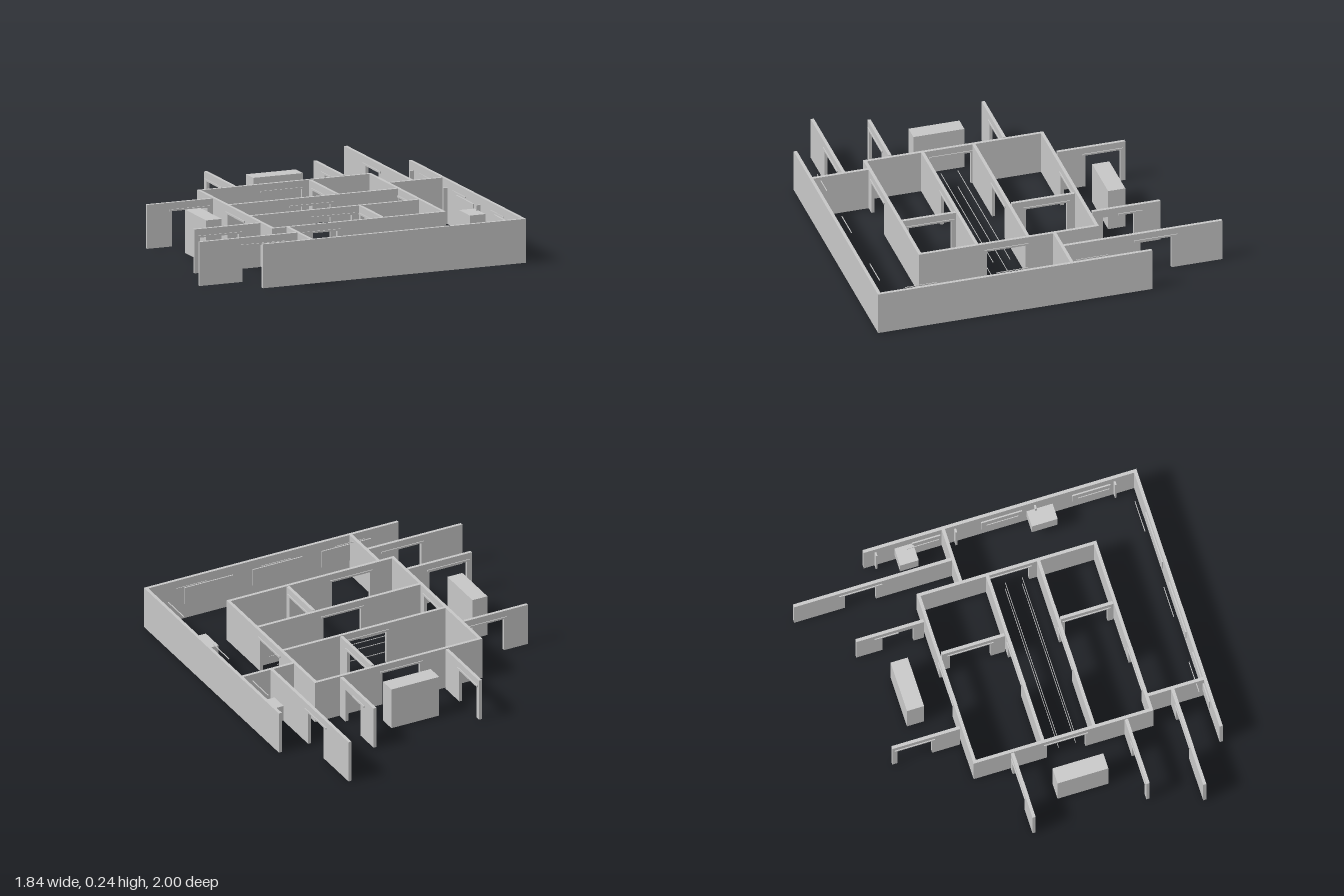
import * as THREE from 'three';

const H = 0.243;       // wall height
const T = 0.018;       // wall thickness
const DOOR_H = 0.196;  // door opening height

export function createModel() {
  const group = new THREE.Group();
  const grey = new THREE.MeshStandardMaterial({ color: 0xc6c6c6 });
  grey.name = 'light grey';

  // Box given by its limits on each axis
  function box(name, x0, x1, y0, y1, z0, z1, parent = group) {
    const m = new THREE.Mesh(new THREE.BoxGeometry(x1 - x0, y1 - y0, z1 - z0), grey);
    m.position.set((x0 + x1) / 2, (y0 + y1) / 2, (z0 + z1) / 2);
    m.name = name;
    parent.add(m);
  }

  // Piece running along x or z, centred on the line at = constant
  function run(name, axis, at, a, b, y0, y1, thick, parent) {
    const lo = at - thick / 2, hi = at + thick / 2;
    if (axis === 'x') box(name, a, b, y0, y1, lo, hi, parent);
    else box(name, lo, hi, y0, y1, a, b, parent);
  }

  // Wall with an optional doorway and a door rail above it
  function wall(name, axis, at, a, b, door, rail) {
    const g = new THREE.Group();
    g.name = name;
    group.add(g);
    if (!door) {
      run('panel', axis, at, a, b, 0, H, T, g);
      return;
    }
    const [d0, d1] = door;
    run('panel', axis, at, a, d0, 0, H, T, g);
    run('panel', axis, at, d1, b, 0, H, T, g);
    run('lintel', axis, at, d0, d1, DOOR_H, H, T, g);
    const [r0, r1] = rail || [d0 - 0.015, d1 + 0.015];
    run('doorRail', axis, at, r0, r1, DOOR_H, DOOR_H + 0.01, T + 0.01, g);
  }

  // Outer walls
  wall('frontOuterWall', 'x', 0.989, -0.627, 0.918);
  wall('leftOuterWall', 'z', 0.909, -0.547, 0.989);

  // Central block of rooms and corridor
  wall('blockBackWall', 'x', -0.338, -0.43, 0.591, [-0.051, 0.179]);
  wall('corridorBackWall', 'x', 0.049, -0.421, 0.582, [-0.051, 0.179]);
  wall('corridorFrontWall', 'x', 0.337, -0.421, 0.582, [-0.051, 0.179]);
  wall('blockFrontWall', 'x', 0.659, -0.43, 0.591, [-0.276, -0.046]);
  for (const x of [-0.421, 0.582])
    wall('blockSideWall', 'z', x, -0.338, 0.659, [0.066, 0.284]);
  wall('backPartition', 'z', 0.226, -0.321, 0.034, [-0.276, -0.046]);
  wall('frontPartition', 'z', 0.226, 0.35, 0.647, [0.374, 0.614]);

  // Walls standing around the block
  wall('backWallRight', 'z', -0.209, -0.739, -0.356, [-0.711, -0.514]);
  wall('backWallMiddle', 'z', 0.434, -0.739, -0.356, [-0.59, -0.416], [-0.636, -0.501]);
  wall('backWallLeft', 'z', 0.725, -0.998, -0.098, [-0.712, -0.536], [-0.746, -0.501]);
  wall('leftCrossWall', 'x', -0.098, 0.591, 0.904);
  wall('rightWallBack', 'x', -0.129, -0.821, -0.434, [-0.675, -0.466]);
  wall('rightWallMiddle', 'x', 0.514, -0.821, -0.434, [-0.791, -0.561]);
  wall('rightWallFront', 'x', 0.804, -0.918, -0.336, [-0.667, -0.436]);
  wall('frontCrossWall', 'z', -0.336, 0.664, 0.982);

  // Large cabinets
  box('backCabinet', -0.033, 0.259, 0, 0.24, -0.598, -0.501);
  box('rightCabinet', -0.673, -0.582, 0, 0.24, 0.05, 0.337);

  // Small raised cabinets on the left wall
  box('smallCabinet', 0.797, 0.9, 0.08, 0.17, -0.374, -0.269);
  box('smallCabinet', 0.797, 0.889, 0.08, 0.17, 0.37, 0.516);

  // Boards on the front wall with a slim bar before each
  for (const [x, c] of [[-0.306, -0.306], [0.114, 0.144], [0.534, 0.659]]) {
    run('wallBoard', 'x', 0.977, x - 0.15, x + 0.15, 0.09, 0.19, 0.008);
    run('slimBar', 'x', 0.937, c - 0.09, c + 0.09, 0.22, 0.224, 0.004);
  }

  // Boards and slim bars on the left wall
  for (const [a, b, c] of [[-0.276, -0.116, -0.226], [0.114, 0.344, 0.224], [0.629, 0.844, 0.739]]) {
    run('wallBoard', 'z', 0.893, a, b, 0.09, 0.19, 0.008);
    run('slimBar', 'z', 0.859, c - 0.09, c + 0.09, 0.22, 0.224, 0.004);
  }

  // Posts on the left wall
  for (const z of [-0.481, -0.031, 0.419, 0.869])
    run('wallPost', 'x', z, 0.877, 0.904, 0, 0.2, 0.01);

  // Thin guide lines along the corridor
  for (const z of [0.144, 0.24])
    for (const y of [0, 0.1])
      run('corridorLine', 'x', z, -0.396, 0.559, y, y + 0.003, 0.003);

  return group;
}
